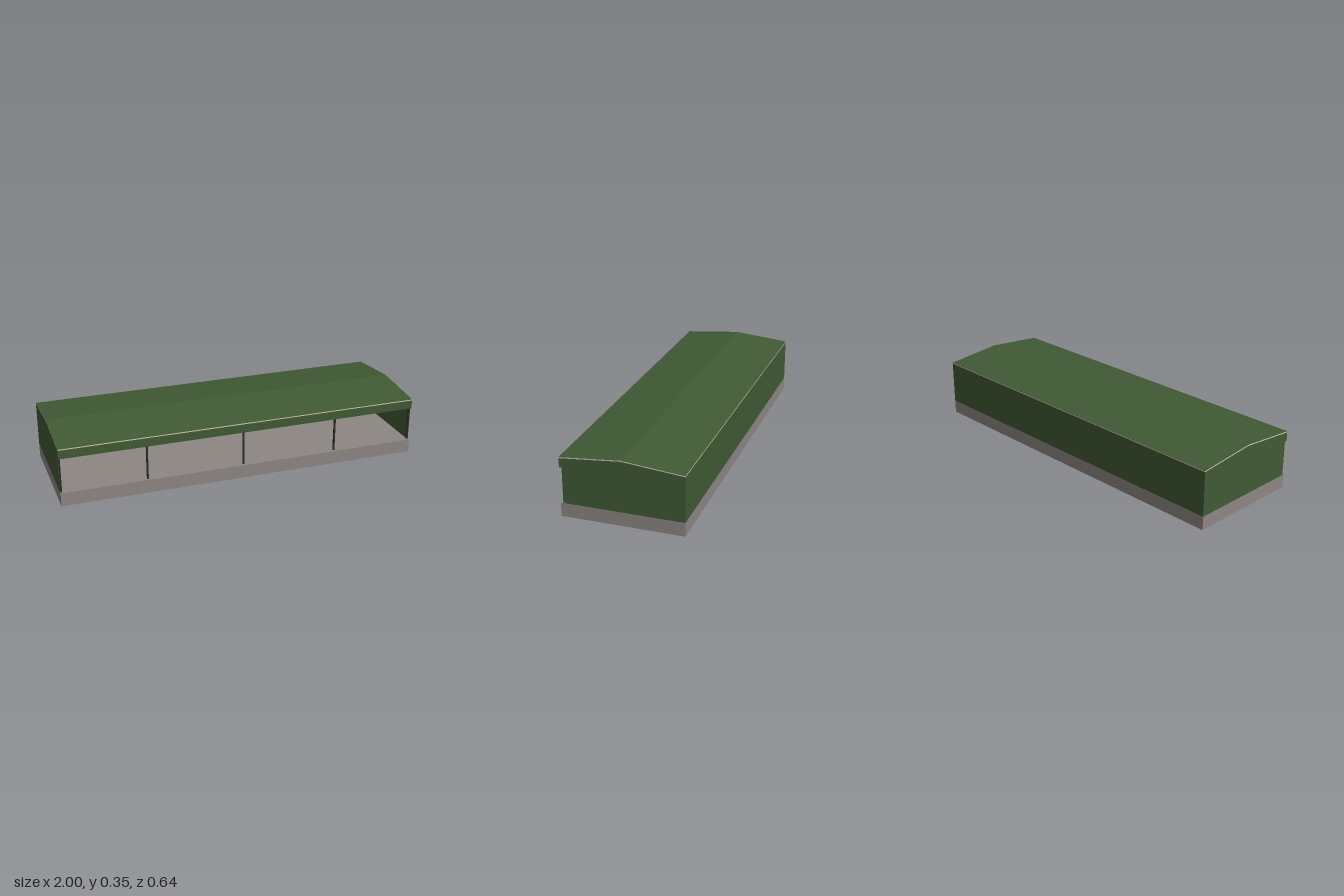
import * as THREE from 'three';

const mat = (name, color) => {
  const m = new THREE.MeshStandardMaterial({ color });
  m.name = name;
  return m;
};

export function createModel() {
  const green = mat('green cladding', 0x405a34);
  const grey = mat('grey concrete', 0x8d8784);
  const beige = mat('beige trim', 0xcfc8b0);
  const dark = mat('dark steel', 0x2e2b2b);
  grey.side = THREE.DoubleSide;

  const model = new THREE.Group();
  model.name = 'openFrontShed';
  const D = 0.322, FLOOR = 0.074, EAVE = 0.322, RIDGE = 0.352, ROOF = 0.007;

  const add = (name, geometry, material, x = 0, y = 0, z = 0) => {
    const mesh = new THREE.Mesh(geometry, material);
    mesh.name = name;
    mesh.position.set(x, y, z);
    model.add(mesh);
    return mesh;
  };

  // Extrudes a [z, y] profile along x, centred on x = 0
  const alongX = (points, length) => {
    const shape = new THREE.Shape(points.map(p => new THREE.Vector2(...p)));
    return new THREE.ExtrudeGeometry(shape, { depth: length, bevelEnabled: false })
      .rotateY(-Math.PI / 2).translate(length / 2, 0, 0);
  };

  // Pitched layer whose upper and lower surfaces lie below the roof line
  const pitched = (top, bottom) => alongX([
    [-D, EAVE - bottom], [0, RIDGE - bottom], [D, EAVE - bottom],
    [D, EAVE - top], [0, RIDGE - top], [-D, EAVE - top],
  ], 2);

  // Foundation: hollow shell with the floor on top and an open underside
  const base = new THREE.BoxGeometry(2, FLOOR, 2 * D);
  base.setIndex([...base.index.array].filter((_, i) => i < 18 || i >= 24));
  base.clearGroups();
  add('foundation', base, grey, 0, FLOOR / 2, 0);

  // End walls, stepping out at the top to meet the front beam
  const wallTop = EAVE - ROOF;
  for (const side of [-1, 1]) {
    add(side < 0 ? 'rightEndWall' : 'leftEndWall', alongX([
      [-D, FLOOR], [0.309, FLOOR], [0.309, 0.267], [D, 0.267],
      [D, wallTop], [0, RIDGE - ROOF], [-D, wallTop],
    ], 0.006), green, side * 0.997);
  }

  // Back wall and front beam
  const wallHeight = wallTop - FLOOR;
  add('backWall', new THREE.BoxGeometry(1.99, wallHeight, 0.006), green,
    0, FLOOR + wallHeight / 2, -D + 0.003);
  add('frontBeam', new THREE.BoxGeometry(1.99, wallTop - 0.267, 0.013), green,
    0, (wallTop + 0.267) / 2, D - 0.0065);

  // Roof: pale slab with a green sheet on top
  add('roofSlab', pitched(0.001, ROOF), beige);
  add('roofSheet', pitched(0, 0.001), green);

  // Slim posts across the open front
  for (const x of [-0.994, -0.535, 0, 0.535, 0.994]) {
    add('post', new THREE.BoxGeometry(0.009, 0.267 - FLOOR, 0.009), dark,
      x, (0.267 + FLOOR) / 2, 0.305);
  }

  return model;
}
